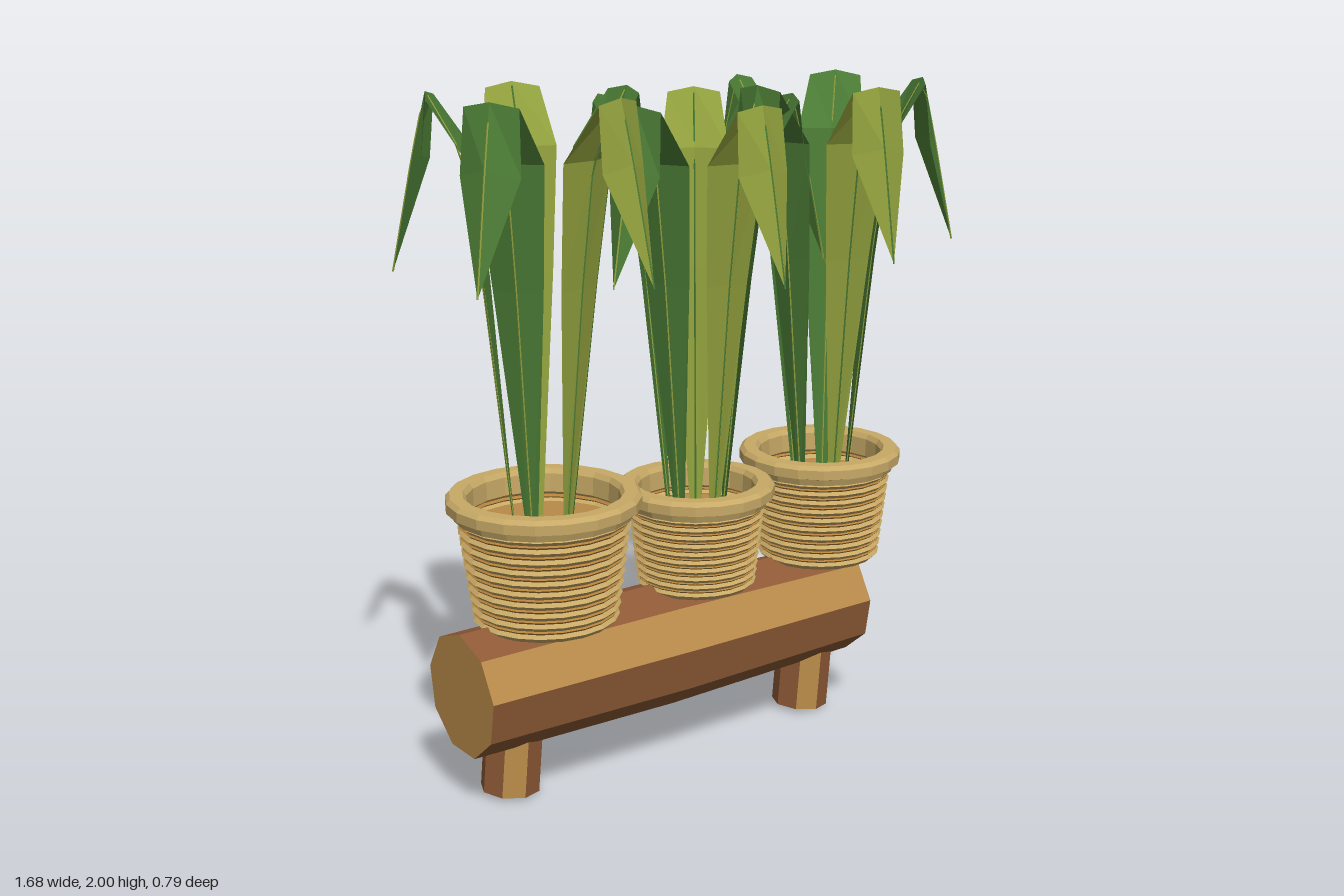
import * as THREE from 'three';

const mat = (name, color, extra = {}) =>
  Object.assign(new THREE.MeshStandardMaterial({ color, flatShading: true, ...extra }), { name });

export function createModel() {
  const model = new THREE.Group();
  model.name = 'plantersOnLog';

  const bark = mat('barkBrown', 0x8f5a36);
  const lightWood = mat('lightWood', 0xb98b4a);
  const straw = mat('straw', 0xc8aa67, { side: THREE.DoubleSide });
  const gold = mat('goldenWeave', 0xb5823c, { side: THREE.DoubleSide });
  const weave = mat('weaveShadow', 0x6e5430, { side: THREE.DoubleSide });
  const green = mat('leafGreen', 0x4c7d36, { side: THREE.DoubleSide });
  const lime = mat('leafLime', 0x91a03d, { side: THREE.DoubleSide });

  const add = (parent, name, geometry, material) => {
    const mesh = new THREE.Mesh(geometry, material);
    mesh.name = name;
    parent.add(mesh);
    return mesh;
  };

  // Faceted timber: chosen side faces use the second material, caps the given index
  function timber(rTop, rBottom, length, sides, rows, start, lightFaces, capIndex) {
    const g = new THREE.CylinderGeometry(rTop, rBottom, length, sides, rows, false, start);
    g.clearGroups();
    const step = rows * 6;
    for (let i = 0; i < sides; i++) g.addGroup(i * step, step, lightFaces.includes(i) ? 1 : 0);
    g.addGroup(sides * step, sides * 6, capIndex);
    return g;
  }

  // Log lying along x, slightly thicker in the middle
  const logGeo = timber(0.182, 0.174, 1.37, 9, 2, Math.PI / 2, [3, 7], 1);
  const p = logGeo.attributes.position;
  for (let i = 0; i < p.count; i++) {
    if (Math.abs(p.getY(i)) < 0.01) {
      p.setX(i, p.getX(i) * 1.06);
      p.setZ(i, p.getZ(i) * 1.06);
    }
  }
  logGeo.rotateZ(Math.PI / 2);
  const log = add(model, 'log', logGeo, [bark, lightWood]);
  log.position.set(-0.125, 0.338, 0.003);
  log.rotation.y = 0.012;

  // Two stub legs, leaning the same way
  for (const x of [-0.645, 0.425]) {
    const leg = add(model, 'leg', timber(0.087, 0.087, 0.24, 8, 1, 0, [3, 7], 0), [bark, lightWood]);
    leg.position.set(x, 0.128, 0);
    leg.rotation.z = -0.09;
  }

  // Leaf sections: radius, height from peak, half width, inward and downward edge offset
  const sections = [
    [0.085, null, 0.016, 0, 0],
    [0.155, -0.52, 0.074, 0.012, 0],
    [0.2, -0.17, 0.1, 0.02, 0],
    [0.295, 0, 0.078, 0.012, 0.015],
    [0.335, -0.17, 0.086, 0.035, 0.02],
    [0.4, -0.49, 0, 0, 0],
  ];
  function leafGeometry(baseY, peakY) {
    const pos = [], idx = [];
    sections.forEach(([r, dy, w, inward, drop], i) => {
      const y = dy === null ? baseY : peakY + dy;
      pos.push(r - inward, y - drop, -w, r, y, 0, r - inward, y - drop, w);
      if (i === 0) return;
      for (let j = 0; j < 2; j++) {
        const a = (i - 1) * 3 + j, b = a + 3;
        idx.push(a, a + 1, b, a + 1, b + 1, b);
      }
    });
    const g = new THREE.BufferGeometry();
    g.setAttribute('position', new THREE.Float32BufferAttribute(pos, 3));
    g.setIndex(idx);
    g.computeVertexNormals();
    return g;
  }

  // Hair-thin vein following the middle fold of a leaf
  function veinGeometry(baseY, peakY) {
    const path = new THREE.CurvePath();
    const points = sections.map(([r, dy]) => new THREE.Vector3(r, dy === null ? baseY : peakY + dy, 0));
    for (let i = 1; i < points.length; i++) path.add(new THREE.LineCurve3(points[i - 1], points[i]));
    return new THREE.TubeGeometry(path, 24, 0.0028, 4);
  }

  // Woven pot with soil and five drooping leaves
  function pottedPlant({ x, z, rim, top, peak, turn, limes }) {
    const plant = new THREE.Group();
    plant.name = 'pottedPlant';
    plant.position.set(x, 0, z);
    model.add(plant);

    const base = 0.5, neck = top - 0.065, soilY = top - 0.1;
    const rNeck = rim - 0.042, rBase = rim * 0.7;
    const radiusAt = (y) => rBase + (rNeck - rBase) * (y - base) / (neck - base);
    const lathe = (pts) => new THREE.LatheGeometry(pts.map(([a, b]) => new THREE.Vector2(a, b)), 20);

    add(plant, 'potWall', lathe([[0, base], [rBase, base], [rNeck, neck]]), weave);
    add(plant, 'potRim', lathe([
      [rNeck - 0.012, neck - 0.005], [rim - 0.022, neck], [rim - 0.015, top - 0.045], [rim, top - 0.04],
      [rim, top - 0.012], [rim - 0.012, top], [rim - 0.05, top], [rim - 0.06, top - 0.015],
      [rNeck - 0.02, neck - 0.005],
    ]), straw);

    // Thick straw coils with thin golden coils between them
    const coils = 19;
    for (let i = 0; i < coils; i++) {
      const thick = i % 2 === 0;
      const y = base + 0.014 + (neck - base - 0.02) * i / (coils - 1);
      const g = new THREE.TorusGeometry(radiusAt(y), thick ? 0.0145 : 0.009, 4, 20);
      g.rotateX(Math.PI / 2);
      add(plant, thick ? 'strawCoil' : 'goldenCoil', g, thick ? straw : gold).position.y = y;
    }

    const soil = new THREE.CircleGeometry(radiusAt(soilY), 20);
    soil.rotateX(-Math.PI / 2);
    add(plant, 'soil', soil, lightWood).position.y = soilY;

    const leafGeo = leafGeometry(soilY - 0.01, peak);
    const veinGeo = veinGeometry(soilY - 0.01, peak);
    for (let i = 0; i < 5; i++) {
      const isLime = limes.includes(i);
      const leaf = add(plant, 'leaf', leafGeo, isLime ? lime : green);
      leaf.rotation.y = -THREE.MathUtils.degToRad(turn + i * 72);
      add(leaf, 'leafVein', veinGeo, isLime ? green : lime);
    }
  }

  pottedPlant({ x: -0.515, z: -0.01, rim: 0.28, top: 0.88, peak: 2.0, turn: 0, limes: [1, 4] });
  pottedPlant({ x: 0.012, z: -0.005, rim: 0.235, top: 0.82, peak: 1.955, turn: 16, limes: [1, 4] });
  pottedPlant({ x: 0.485, z: -0.005, rim: 0.25, top: 0.85, peak: 1.98, turn: 27, limes: [1] });

  return model;
}
